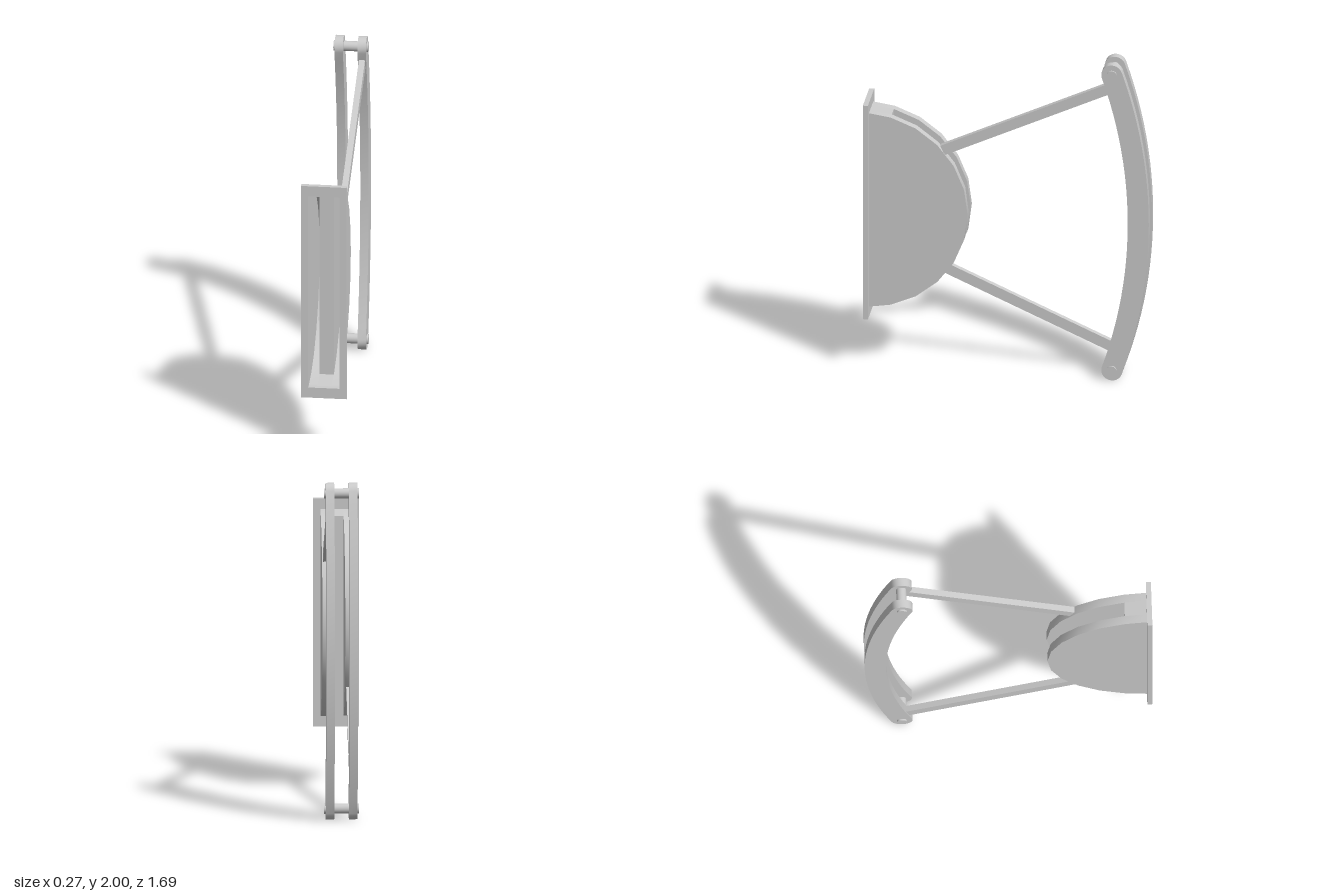
import * as THREE from 'three';
import { toCreasedNormals } from 'three/addons/utils/BufferGeometryUtils.js';

const solid = new THREE.MeshStandardMaterial({ color: 0xcccccc });
const sheet = new THREE.MeshStandardMaterial({ color: 0xcccccc, side: THREE.DoubleSide });
const MID = 1; // height of the mirror plane

// Shape in the side plane from [z, y] points; sideways() turns it to face x.
const sideShape = (pts) => new THREE.Shape(pts.map(([z, y]) => new THREE.Vector2(-z, y)));
const sideways = (geo, x) => geo.rotateY(Math.PI / 2).translate(x, 0, 0);

function add(parent, name, geo, mat = solid) {
  const mesh = new THREE.Mesh(geo, mat);
  mesh.name = name;
  parent.add(mesh);
  return mesh;
}

// Smooth strip following [z, y] points between two x values
function strip(pts, x0, x1) {
  const pos = [], idx = [];
  pts.forEach(([z, y], i) => {
    pos.push(x0, y, z, x1, y, z);
    if (i) {
      const a = 2 * i - 2;
      idx.push(a, a + 2, a + 1, a + 1, a + 2, a + 3);
    }
  });
  const geo = new THREE.BufferGeometry();
  geo.setAttribute('position', new THREE.Float32BufferAttribute(pos, 3));
  geo.setIndex(idx);
  geo.computeVertexNormals();
  return geo;
}

// Rectangular flange with an open window
function flange() {
  const rect = (P, w, h) => new P([[-w, -h], [w, -h], [w, h], [-w, h]].map(([x, y]) => new THREE.Vector2(x, y)));
  const shape = rect(THREE.Shape, 0.135, 0.678);
  shape.holes.push(rect(THREE.Path, 0.092, 0.613));
  return new THREE.ExtrudeGeometry(shape, { depth: 0.03, bevelEnabled: false }).translate(0, MID, 0.815);
}

// Hollow half drum, open at the front, with a slot cut in from the back
function halfDrum() {
  const group = new THREE.Group();
  group.name = 'halfDrum';
  const R = 0.615, zc = 0.845, outer = 0.092, inner = 0.042;
  const arc = [];
  for (let i = 1; i <= 11; i++) {
    const a = (i * Math.PI) / 12;
    arc.push([zc - R * Math.sin(a), MID + R * Math.cos(a)]);
  }
  const top = [0.815, MID + R - 0.001], bottom = [0.815, MID - R + 0.001];
  const full = [top, ...arc, bottom];
  for (const s of [-1, 1]) {
    add(group, 'drumCheek', sideways(new THREE.ShapeGeometry(sideShape(full)), s * outer), sheet);
    add(group, 'slotWall', sideways(new THREE.ShapeGeometry(sideShape(arc)), s * inner), sheet);
    add(group, 'drumRim', strip(full, ...(s > 0 ? [inner, outer] : [-outer, -inner])), sheet);
  }
  // Bridges above and below the slot, and the slot floor
  add(group, 'topBridge', strip([top, arc[0]], -inner, inner), sheet);
  add(group, 'bottomBridge', strip([arc[10], bottom], -inner, inner), sheet);
  add(group, 'slotFloor', strip([arc[0], arc[10]], -inner, inner), sheet);
  return group;
}

// Bowed bar with rounded ends: a band around an arc through both pin centres
const PIN_Z = -0.625, PIN_H = 0.9375, HALF = 0.0625;
function bowedBar(x) {
  const sag = 0.157, R = (PIN_H ** 2 + sag ** 2) / (2 * sag), zc = PIN_Z - sag + R;
  const A = Math.asin(PIN_H / R), pts = [];
  const at = (r, a) => [zc - r * Math.cos(a), MID + r * Math.sin(a)];
  const cap = (a, from) => {
    const [z, y] = at(R, a);
    for (let i = 1; i < 12; i++) {
      const t = a + from + (i * Math.PI) / 12;
      pts.push([z - HALF * Math.cos(t), y + HALF * Math.sin(t)]);
    }
  };
  for (let i = 0; i <= 24; i++) pts.push(at(R + HALF, -A + (2 * A * i) / 24));
  cap(A, 0);
  for (let i = 0; i <= 24; i++) pts.push(at(R - HALF, A - (2 * A * i) / 24));
  cap(-A, Math.PI);
  const geo = new THREE.ExtrudeGeometry(sideShape(pts), { depth: 0.05, bevelEnabled: false });
  return toCreasedNormals(sideways(geo, x - 0.025), 0.5);
}

export function createModel() {
  const model = new THREE.Group();
  model.name = 'slottedDrumBracket';
  add(model, 'frontFlange', flange());
  model.add(halfDrum());

  for (const s of [-1, 1]) {
    add(model, 'bowedBar', bowedBar(s * 0.068));

    // Cross pin joining the two bars
    add(model, 'crossPin', new THREE.CylinderGeometry(0.03, 0.03, 0.206, 20)
      .rotateZ(Math.PI / 2).translate(0, MID + s * PIN_H, PIN_Z));

    // Strut from drum to bar: upper one on the left, lower one on the right
    const dz = -1.0, dy = s * 0.452;
    const strut = add(model, 'strut', new THREE.BoxGeometry(0.036, 0.063, Math.hypot(dz, dy)));
    strut.position.set(s * 0.068, MID + s * 0.4 + dy / 2, 0.38 + dz / 2);
    strut.rotation.x = Math.atan2(dy, -dz);
  }
  return model;
}
